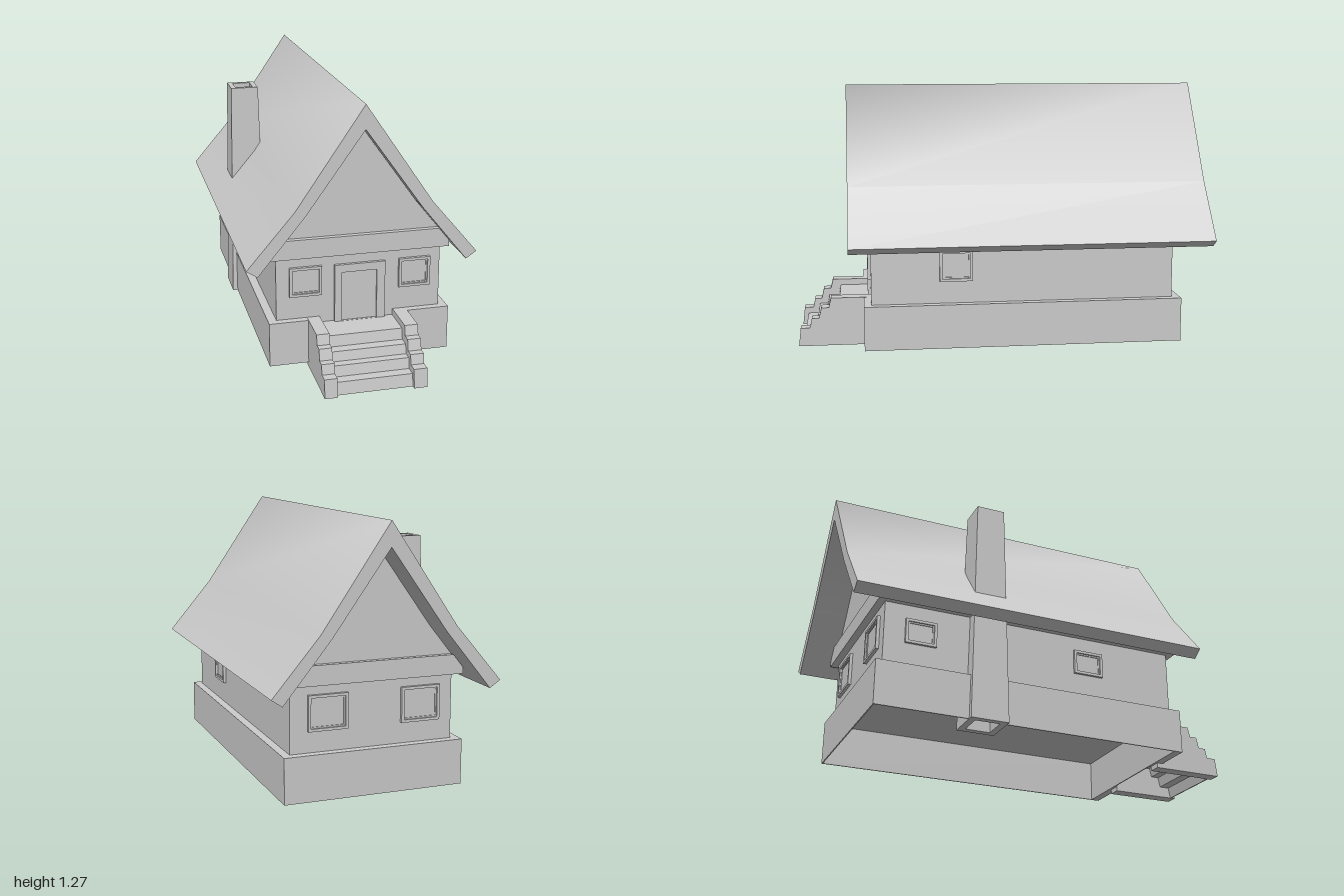
import * as THREE from 'three';

const mat = new THREE.MeshStandardMaterial({ color: 0xcccccc, side: THREE.DoubleSide });

const shapeOf = (pts) => new THREE.Shape(pts.map(([x, y]) => new THREE.Vector2(x, y)));
const rect = (x0, y0, x1, y1) => [[x0, y0], [x1, y0], [x1, y1], [x0, y1]];

function mesh(name, geometry, parent) {
  const m = new THREE.Mesh(geometry, mat);
  m.name = name;
  parent.add(m);
  return m;
}

function extrude(outline, depth, hole) {
  const shape = shapeOf(outline);
  if (hole) shape.holes.push(shapeOf(hole));
  return new THREE.ExtrudeGeometry(shape, { depth, bevelEnabled: false });
}

function box(x0, x1, y0, y1, z0, z1) {
  return new THREE.BoxGeometry(x1 - x0, y1 - y0, z1 - z0)
    .translate((x0 + x1) / 2, (y0 + y1) / 2, (z0 + z1) / 2);
}

// Section in the xy plane, running from z0 to z1
const alongZ = (pts, z0, z1) => extrude(pts, z1 - z0).translate(0, 0, z0);
// Side profile given as [z, y], running from x0 to x1
const alongX = (pts, x0, x1) => extrude(pts, x1 - x0).rotateY(-Math.PI / 2).translate(x1, 0, 0);
// Floor plan given as [x, z], running from y0 to y1
const alongY = (pts, y0, y1, hole) => {
  const flip = (a) => a.map(([x, z]) => [x, -z]);
  return extrude(flip(pts), y1 - y0, hole && flip(hole)).rotateX(-Math.PI / 2).translate(0, y0, 0);
};

// Smooth strip that sweeps an open line of [x, y] points along z
function strip(pts, z0, z1) {
  const pos = [], idx = [];
  pts.forEach(([x, y], i) => {
    pos.push(x, y, z0, x, y, z1);
    if (i < pts.length - 1) {
      const b = 2 * i;
      idx.push(b, b + 2, b + 1, b + 2, b + 3, b + 1);
    }
  });
  const g = new THREE.BufferGeometry();
  g.setAttribute('position', new THREE.Float32BufferAttribute(pos, 3));
  g.setIndex(idx);
  g.computeVertexNormals();
  return g;
}

// Window: raised frame around a set-back pane with a thin inner sash
function addWindow(parent, name, x, y, z, w, h, turn) {
  const g = new THREE.Group();
  g.name = name;
  const r = (b) => rect(-w / 2 + b, -h / 2 + b, w / 2 - b, h / 2 - b);
  mesh('windowFrame', extrude(r(0), 0.015, r(0.013)), g);
  mesh('windowSash', extrude(r(0.013), 0.008, r(0.02)), g);
  mesh('windowPane', extrude(r(0.02), 0.004), g);
  g.position.set(x, y, z);
  g.rotation.y = turn;
  parent.add(g);
}

export function createModel() {
  const house = new THREE.Group();
  house.name = 'cottage';

  // Foundation: hollow plinth, notched at the door, closed at the top
  const plan = [[-0.43, -0.865], [0.437, -0.865], [0.437, 0.68], [0.17, 0.68], [0.17, 0.643],
    [-0.185, 0.643], [-0.185, 0.68], [-0.43, 0.68]];
  mesh('foundationWalls', alongY(plan, 0.023, 0.227, rect(-0.424, -0.859, 0.431, 0.637)), house);
  mesh('foundationTop', alongY(plan, 0.227, 0.237), house);

  // Walls
  mesh('walls', box(-0.39, 0.398, 0.237, 0.56, -0.825, 0.645), house);

  // Attic floor beam and gable filling
  mesh('atticBeam', alongZ([[-0.43, 0.545], [0.43, 0.545], [0.43, 0.575], [0.38, 0.637],
    [-0.38, 0.637], [-0.43, 0.575]], -0.86, 0.68), house);
  mesh('gable', alongZ([[-0.381, 0.637], [0.381, 0.637], [0.27, 0.774], [0, 1.152], [-0.27, 0.774]],
    -0.835, 0.655), house);

  // Roof: smooth top and underside, flat eaves and ends
  const roof = new THREE.Group();
  roof.name = 'roof';
  house.add(roof);
  const outer = [[0.54, 0.537], [0.32, 0.797], [0, 1.267], [-0.32, 0.797], [-0.543, 0.537]];
  const inner = [[-0.492, 0.503], [-0.27, 0.775], [0, 1.153], [0.27, 0.775], [0.49, 0.503]];
  mesh('roofTop', strip(outer, -1, 0.75), roof);
  mesh('roofUnderside', strip(inner, -1, 0.75), roof);
  mesh('eaveRight', strip([outer[4], inner[0]], -1, 0.75), roof);
  mesh('eaveLeft', strip([inner[4], outer[0]], -1, 0.75), roof);
  const end = () => new THREE.ShapeGeometry(shapeOf([...outer, ...inner]));
  mesh('roofFrontEnd', end().translate(0, 0, 0.75), roof);
  mesh('roofBackEnd', end().rotateY(Math.PI).scale(-1, 1, 1).translate(0, 0, -1), roof)
    .geometry.index.array.reverse();
  roof.children.at(-1).geometry.computeVertexNormals();

  // Chimney: square pipe tapering upward, plugged inside
  const y0 = 0.023, y1 = 1.135;
  const taper = (g) => {
    const p = g.attributes.position;
    for (let i = 0; i < p.count; i++) {
      const half = THREE.MathUtils.lerp(0.092, 0.069, (p.getY(i) - y0) / (y1 - y0));
      p.setX(i, -0.363 + p.getX(i) * half);
      p.setZ(i, -0.33 + p.getZ(i) * half);
    }
    g.computeVertexNormals();
    return g;
  };
  const hole = rect(-0.65, -0.65, 0.65, 0.65);
  mesh('chimney', taper(alongY(rect(-1, -1, 1, 1), y0, y1, hole)), house);
  mesh('chimneyPlug', taper(alongY(hole, y0 + 0.06, y1 - 0.1)), house);

  // Stairs: thin zigzag treads between two stepped cheeks
  const stairs = new THREE.Group();
  stairs.name = 'stairs';
  house.add(stairs);
  const treads = [[0.98, 0], [0.97, 0.06], [0.92, 0.06], [0.91, 0.11], [0.87, 0.11], [0.86, 0.155],
    [0.81, 0.155], [0.8, 0.207], [0.645, 0.207]];
  const under = treads.map(([z, y]) => [z - 0.006, Math.max(0, y - 0.006)]).reverse();
  mesh('treads', alongX([...treads, ...under], -0.185, 0.17), stairs);
  const cheek = [[0.65, 0], [1, 0], [0.99, 0.09], [0.945, 0.09], [0.935, 0.137], [0.9, 0.137],
    [0.888, 0.19], [0.852, 0.19], [0.84, 0.238], [0.65, 0.238]];
  mesh('cheekRight', alongX(cheek, -0.245, -0.185), stairs);
  mesh('cheekLeft', alongX(cheek, 0.17, 0.233), stairs);

  // Door with its frame
  mesh('doorFrame', extrude([[-0.115, 0.207], [0.128, 0.207], [0.128, 0.49], [-0.115, 0.49]], 0.017,
    [[-0.08, 0.208], [0.088, 0.208], [0.088, 0.452], [-0.08, 0.452]]).translate(0, 0, 0.643), house);
  mesh('door', box(-0.08, 0.088, 0.207, 0.452, 0.64, 0.65), house);

  // Windows: front, back and both long sides
  const q = Math.PI / 2;
  addWindow(house, 'frontWindowLeft', 0.272, 0.421, 0.645, 0.153, 0.143, 0);
  addWindow(house, 'frontWindowRight', -0.252, 0.421, 0.645, 0.153, 0.143, 0);
  addWindow(house, 'backWindowLeft', 0.22, 0.417, -0.825, 0.19, 0.165, 2 * q);
  addWindow(house, 'backWindowRight', -0.23, 0.417, -0.825, 0.19, 0.165, 2 * q);
  addWindow(house, 'sideWindowLeft', 0.398, 0.42, 0.238, 0.16, 0.15, q);
  addWindow(house, 'sideWindowRightFront', -0.388, 0.415, 0.2, 0.15, 0.12, -q);
  addWindow(house, 'sideWindowRightBack', -0.388, 0.415, -0.65, 0.15, 0.12, -q);

  return house;
}
